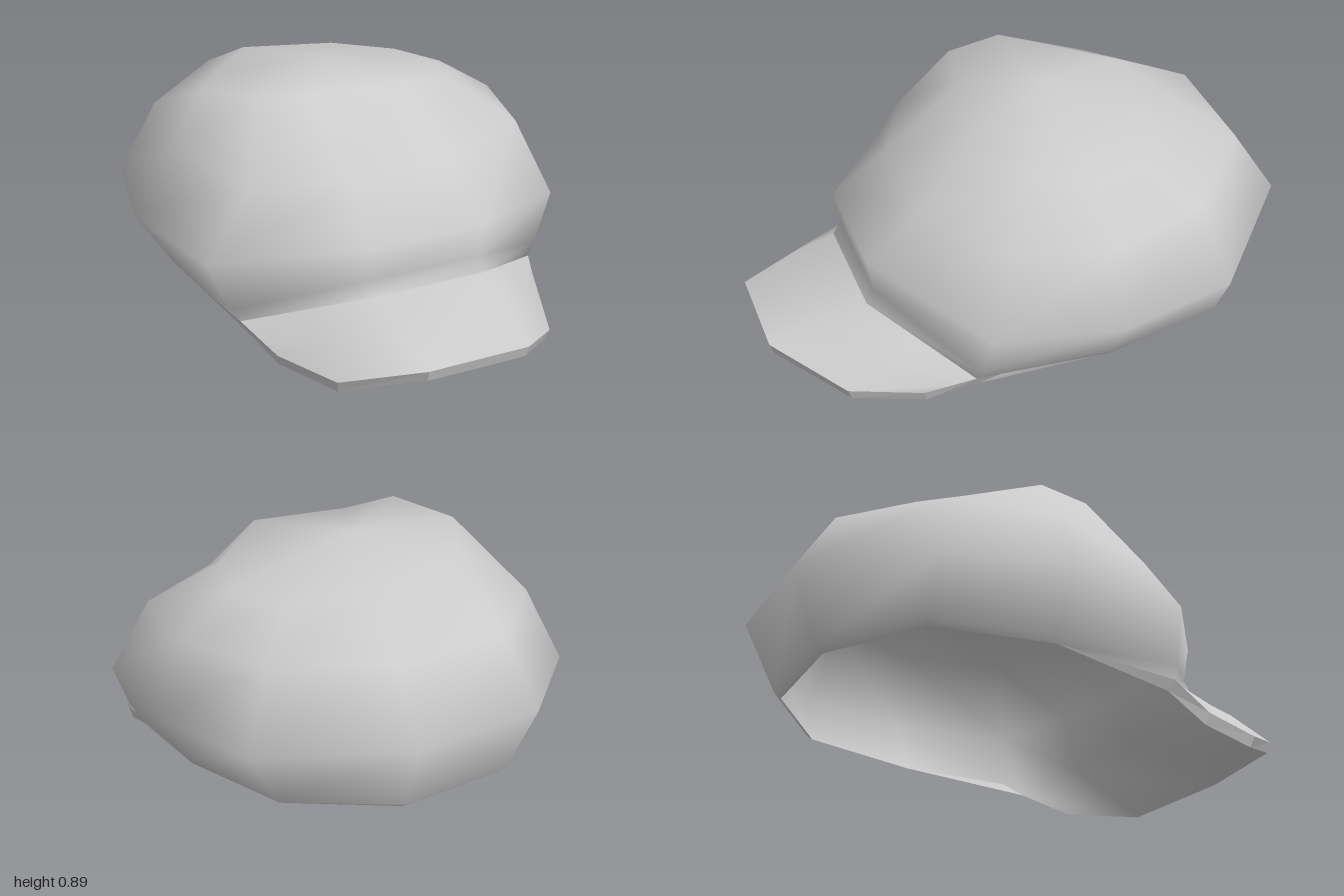
import * as THREE from 'three';
import { mergeVertices } from 'three/addons/utils/BufferGeometryUtils.js';

// Smooth skin over rows of points; columns run left to right, rows upward, seen from outside
function skin(name, rows, { closed = false, flip = false, flat = false } = {}) {
  const n = rows[0].length;
  const index = [];
  for (let r = 0; r < rows.length - 1; r++) {
    for (let c = 0; c < (closed ? n : n - 1); c++) {
      const a = r * n + c, b = r * n + (c + 1) % n;
      const d = a + n, e = b + n;
      if (flip) index.push(a, e, b, a, d, e);
      else index.push(a, b, e, a, e, d);
    }
  }
  let geometry = new THREE.BufferGeometry();
  geometry.setAttribute('position', new THREE.Float32BufferAttribute(rows.flat(2), 3));
  geometry.setIndex(index);
  geometry = mergeVertices(geometry, 1e-4);
  geometry.computeVertexNormals();
  const mesh = new THREE.Mesh(geometry, new THREE.MeshStandardMaterial({
    color: 0xcccccc, flatShading: flat, side: THREE.DoubleSide,
  }));
  mesh.name = name;
  return mesh;
}

const mirrorX = ([x, y, z]) => [-x, y, z];
// Points from front to back on the left, mirrored into a full ring
const ring = (half) => [...half, ...half.map(mirrorX).reverse()];
// Points from the side to the middle, mirrored into a full arc from -x to +x
const arc = (half) => [...half.map(mirrorX), ...[...half].reverse()];
const blend = (a, b, t = 0.5) => a.map((v, i) => v + (b[i] - v) * t);

export function createModel() {
  const group = new THREE.Group();
  group.name = 'cap';

  // Crown cross-sections from the rim up
  const joinFront = [0.23, 0.265, 0.63], joinSide = [0.61, 0.12, 0.33];
  const rim = ring([joinFront, joinSide, [0.66, 0.14, -0.17], [0.57, 0.155, -0.61], [0.22, 0.145, -0.86]]);
  const band = ring([[0.23, 0.32, 0.6], [0.64, 0.165, 0.32], [0.675, 0.16, -0.17], [0.585, 0.17, -0.625], [0.225, 0.165, -0.885]]);
  const widest = ring([[0.235, 0.45, 0.62], [0.72, 0.355, 0.3], [0.817, 0.375, -0.17], [0.705, 0.375, -0.62], [0.265, 0.435, -1]]);
  const shoulder = ring([[0.21, 0.62, 0.41], [0.61, 0.64, 0.2], [0.7, 0.645, -0.17], [0.58, 0.66, -0.55], [0.23, 0.685, -0.84]]);
  shoulder[7] = [-0.655, 0.645, -0.15];
  shoulder[8] = [-0.54, 0.605, 0.26];
  // The soft top leans to one side
  const top = [
    [0.15, 0.865, 0.18], [0.39, 0.8, 0.04], [0.48, 0.785, -0.17], [0.4, 0.775, -0.4], [0.16, 0.81, -0.49],
    [-0.21, 0.84, -0.52], [-0.4, 0.815, -0.36], [-0.535, 0.835, -0.16], [-0.43, 0.868, 0.08], [-0.22, 0.855, 0.11],
  ];
  const apex = top.map(() => [-0.06, 0.89, -0.17]);
  group.add(skin('crown', [rim, band, widest, shoulder, top, apex], { closed: true }));

  // Lower edge of the rim drops to the thickness of the peak at the front
  const lowRim = rim.map(([x, y, z]) => (z > 0 ? [x * 0.97, y - 0.04, z - 0.02] : [x, y, z]));
  group.add(skin('rim', [lowRim, rim], { closed: true, flat: true }));

  // Peak: arched top and thin edge
  const brow = [joinSide, blend(joinSide, joinFront), joinFront];
  const lip = [[0.545, 0.05, 0.51], [0.435, 0.045, 0.77], [0.2, 0.145, 1]];
  const middle = brow.map((p, i) => {
    const [x, y, z] = blend(p, lip[i]);
    return [x, y + 0.015 * i / 2, z];
  });
  const lowLip = lip.map(([x, y, z]) => [x * 0.98, y - 0.044, z - 0.015]);
  group.add(skin('peakTop', [lip, middle, brow].map(arc)));
  group.add(skin('peakEdge', [[lowRim[1], ...lowLip], [joinSide, ...lip]].map(arc), { flat: true }));

  // Lining: underside of the peak running on into the inside of the crown
  const inset = (points) => points.map(([x, y, z]) => [x * 0.95, (y - 0.2) * 0.95 + 0.2, (z + 0.17) * 0.95 - 0.17]);
  // Adds columns at the front of a ring to match the corners of the peak
  const widen = (r) => [
    r[0], blend(r[0], r[1]), r[1], ...r.slice(1, 9), r[8], blend(r[8], r[9]), r[9],
  ];
  const lipRing = ring([...[...lowLip].reverse(), ...lowRim.slice(1, 5)]);
  const inside = [lowRim, ...[widest, shoulder, top, apex].map(inset)].map(widen);
  group.add(skin('lining', [lipRing, ...inside], { closed: true, flip: true }));

  return group;
}
